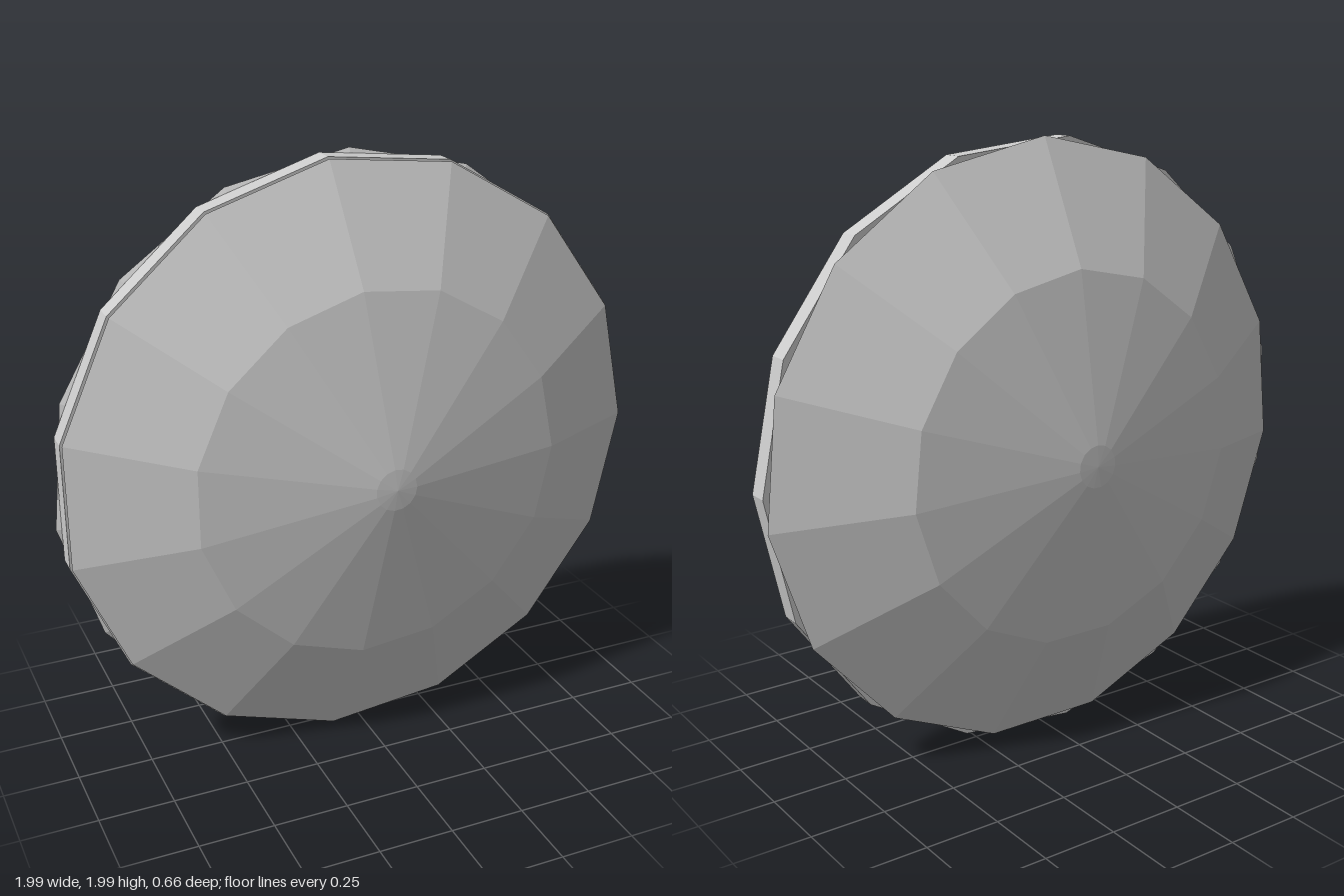
import * as THREE from 'three';

const SIDES = 15;

// Faceted disc part turned around the z axis from [radius, z] points, listed back to front
function turned(name, profile, startAngle) {
  const points = profile.map(([r, z]) => new THREE.Vector2(r, z));
  const geometry = new THREE.LatheGeometry(points, SIDES, startAngle);
  geometry.rotateX(Math.PI / 2);
  const material = new THREE.MeshStandardMaterial({ color: 0xcccccc, flatShading: true });
  const mesh = new THREE.Mesh(geometry, material);
  mesh.name = name;
  mesh.position.y = 1;
  return mesh;
}

export function createModel() {
  const group = new THREE.Group();
  group.name = 'lensDisc';

  // Rim band with a corner pointing to +x
  group.add(turned('rim', [[0, -0.035], [1, -0.035], [1, 0.035], [0, 0.035]], Math.PI / 2));

  // Front dome: thin lip, steep outer ring, shallow inner cone, small cap
  group.add(turned('frontDome', [
    [0, 0.036], [0.98, 0.036], [0.995, 0.045], [0.623, 0.212], [0.07, 0.322], [0, 0.328],
  ], Math.PI / 2));

  // Back dome, with a corner pointing up, so its corners fall between those of the rim
  group.add(turned('backDome', [
    [0, -0.335], [0.07, -0.332], [0.61, -0.238], [1, -0.045], [0.985, -0.036], [0, -0.036],
  ], Math.PI));

  return group;
}
